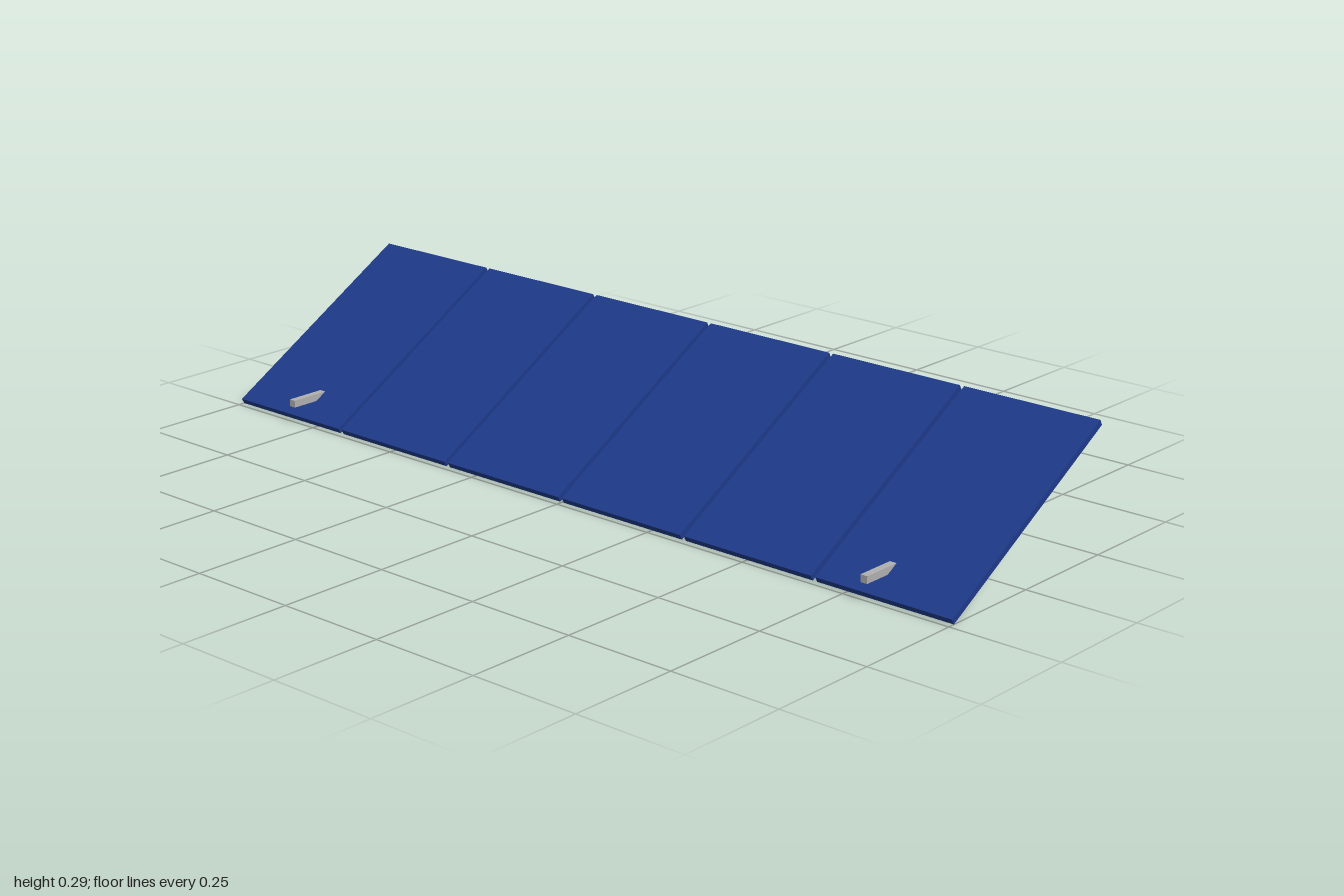
import * as THREE from 'three';

export function createModel() {
  const group = new THREE.Group();
  const panelBlue = new THREE.MeshStandardMaterial({ name: 'panelBlue', color: 0x1e3a8a });
  const railGrey = new THREE.MeshStandardMaterial({ name: 'railGrey', color: 0xb0b0b0 });

  // Row of six panels leaning back by 30 degrees
  const count = 6, gap = 0.0107, width = (2 - gap * (count - 1)) / count;
  const panelGeometry = new THREE.BoxGeometry(width, 0.0135, 0.548);
  const panels = new THREE.Group();
  panels.name = 'panels';
  panels.position.y = 0.143;
  panels.rotation.x = Math.PI / 6;
  for (let i = 0; i < count; i++) {
    const panel = new THREE.Mesh(panelGeometry, panelBlue);
    panel.name = 'panel' + (i + 1);
    panel.position.x = -1 + width / 2 + i * (width + gap);
    panels.add(panel);
  }
  group.add(panels);

  // Two level rails passing through the outer panels
  const railGeometry = new THREE.BoxGeometry(0.016, 0.016, 0.516);
  for (const side of [-1, 1]) {
    const rail = new THREE.Mesh(railGeometry, railGrey);
    rail.name = side > 0 ? 'leftRail' : 'rightRail';
    rail.position.set(side * 0.806, 0.047, 0);
    group.add(rail);
  }
  return group;
}
